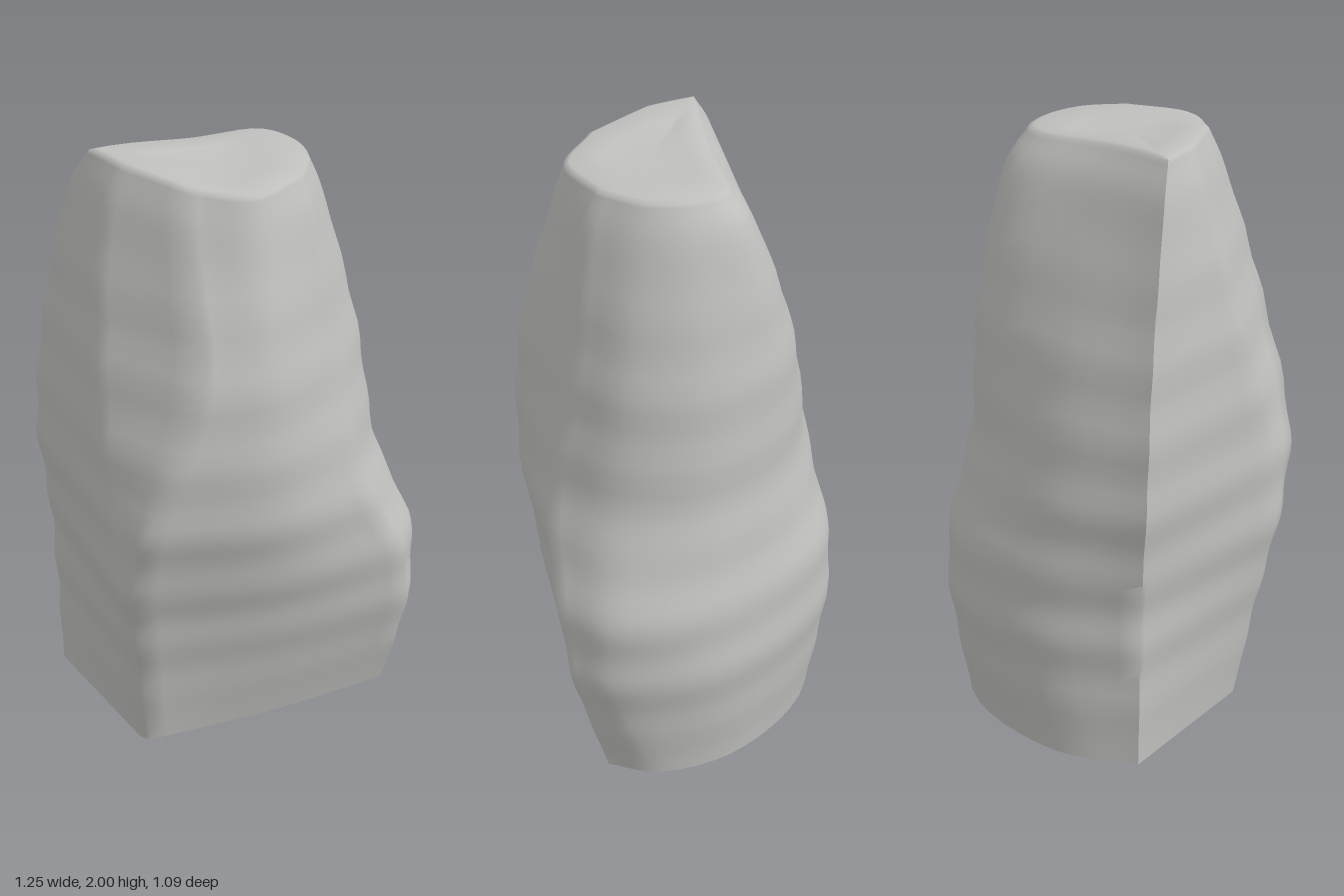
import * as THREE from 'three';
import { toCreasedNormals } from 'three/addons/utils/BufferGeometryUtils.js';

// Outline of the stone at rising heights: y, then x,z pairs for the two ends of
// the front-left chamfer, front, right corner, four round the back, back-left corner.
const levels = [
  [0.00, -.3, .35, -.27, .37, .14, .23, .54, .05, .53, -.12, .36, -.34, -.02, -.48, -.4, -.33, -.57, -.1],
  [0.42, -.33, .41, -.29, .445, .16, .34, .6, .15, .62, 0, .46, -.31, 0, -.54, -.36, -.4, -.58, -.1],
  [0.65, -.35, .45, -.3, .495, .17, .4, .56, .2, .61, 0, .45, -.29, 0, -.53, -.36, -.39, -.59, -.1],
  [0.95, -.37, .42, -.25, .545, .14, .47, .42, .27, .49, .02, .39, -.25, .05, -.44, -.36, -.35, -.62, -.1],
  [1.40, -.4, .3, -.08, .5, .14, .44, .35, .2, .41, 0, .33, -.24, .07, -.4, -.31, -.28, -.58, -.07],
  [1.85, -.36, .18, -.12, .34, .08, .34, .25, .18, .29, 0, .25, -.16, .12, -.28, -.18, -.15, -.48, 0],
  [1.95, -.31, .16, -.12, .29, .07, .31, .22, .15, .25, 0, .21, -.13, .11, -.21, -.14, -.08, -.41, .04],
];
const POINTS = 9;
const sides = [[0, 1, 4], [1, 3, 14], [3, 8, 26], [8, 9, 8]]; // first point, last point, divisions
const ROWS = 50;

// Each side is its own curve, so the corners between them stay firm.
function ring(points) {
  return sides.flatMap(([first, last, n]) => {
    const pts = [];
    for (let i = first; i <= last; i++) pts.push(points[i % POINTS]);
    const curve = new THREE.CatmullRomCurve3(pts, false, 'centripetal');
    return Array.from({ length: n }, (_, i) => curve.getPoint(i / n));
  });
}

function stoneGeometry() {
  // Upright curves through matching outline points
  const ribs = Array.from({ length: POINTS }, (_, k) => new THREE.CatmullRomCurve3(
    levels.map((l) => new THREE.Vector3(l[2 * k + 1], l[0], l[2 * k + 2])), false, 'centripetal'));
  const rows = [];
  for (let r = 0; r <= ROWS; r++) {
    const row = ring(ribs.map((c) => c.getPoint(r / ROWS)));
    for (const p of row) {
      // Faint weathered ripples, fading out at foot and crown
      const fade = Math.min(1, p.y * 3, Math.max(0, (1.9 - p.y) * 3));
      const k = 1 + 0.009 * fade * Math.sin(p.y * 26 + 2.7 + p.x + 0.6);
      p.x *= k;
      p.z *= k;
      // Crown rises towards the left-hand ridge
      p.y += Math.max(0, p.y - 1.8) / 0.15 * 0.045 * THREE.MathUtils.smoothstep(-p.x, -0.1, 0.4);
    }
    rows.push(row);
  }
  // Softened rim and slightly dished crown
  const rim = rows[ROWS];
  for (const [s, lift] of [[0.94, 0.008], [0.6, 0.005]]) {
    rows.push(rim.map((p) => new THREE.Vector3(
      -0.04 + (p.x + 0.04) * s, 1.95 + (p.y - 1.95) * s + lift, 0.07 + (p.z - 0.07) * s)));
  }

  // Skin between the rows, closed by a fan at the foot and another at the crown
  const n = rim.length;
  const vertices = rows.flat();
  const foot = vertices.length;
  vertices.push(new THREE.Vector3(-0.03, 0, -0.06), new THREE.Vector3(-0.04, 1.955, 0.07));
  const top = (rows.length - 1) * n;
  const index = [];
  for (let i = 0; i < n; i++) {
    const j = (i + 1) % n;
    for (let r = 0; r < top; r += n) {
      index.push(r + i, r + j, r + j + n, r + i, r + j + n, r + i + n);
    }
    index.push(foot, j, i, foot + 1, top + i, top + j);
  }
  const geometry = new THREE.BufferGeometry().setFromPoints(vertices);
  geometry.setIndex(index);
  return toCreasedNormals(geometry, 1.05);
}

export function createModel() {
  const group = new THREE.Group();
  group.name = 'standingStone';
  const grey = new THREE.MeshStandardMaterial({ color: 0xc0c0be });
  grey.name = 'stone grey';
  const stone = new THREE.Mesh(stoneGeometry(), grey);
  stone.name = 'stone';
  group.add(stone);
  return group;
}
